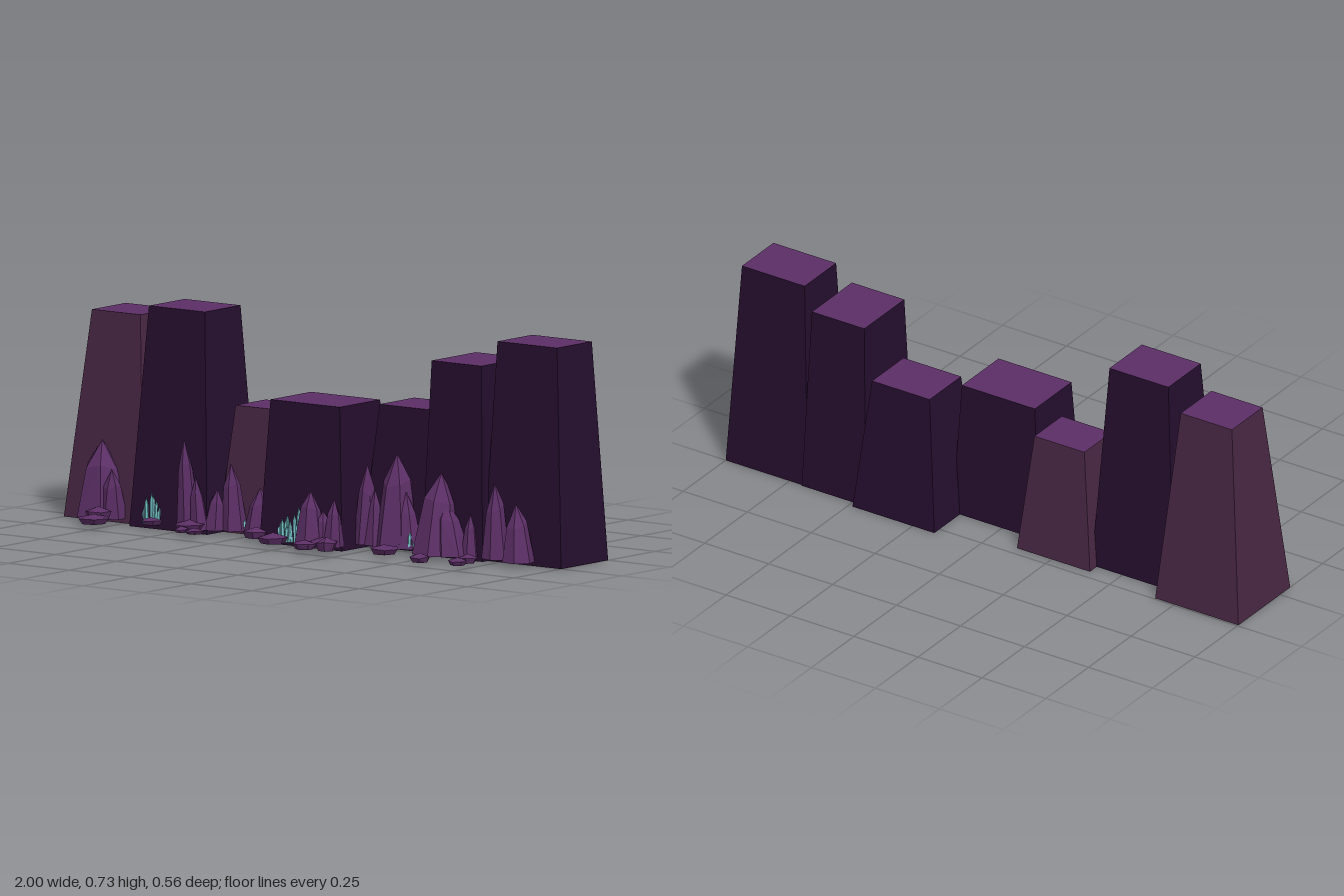
import * as THREE from 'three';
import { ConvexGeometry } from 'three/addons/geometries/ConvexGeometry.js';

const mat = (name, color) => {
  const m = new THREE.MeshStandardMaterial({ color, flatShading: true, side: THREE.DoubleSide });
  m.name = name;
  return m;
};

export function createModel() {
  const group = new THREE.Group();
  const darkRock = mat('dark rock', 0x250e2e);
  const maroonRock = mat('maroon rock', 0x482743);
  const purple = mat('purple crystal', 0x5c2f66);
  const cyan = mat('cyan crystal', 0x74c0c6);

  let seed = 7;
  const rand = () => (seed = (seed * 16807) % 2147483647) / 2147483647;
  const vary = (a) => 1 + (rand() - 0.5) * a;

  const add = (name, geometry, material) => {
    const mesh = new THREE.Mesh(geometry, material);
    mesh.name = name;
    group.add(mesh);
  };

  // Tapered pillar, open underneath; rectangles are [x0, x1, z0, z1]
  function pillar(base, top, height, wall) {
    const g = new THREE.BoxGeometry(1, 1, 1);
    const p = g.attributes.position;
    for (let i = 0; i < p.count; i++) {
      const r = p.getY(i) > 0 ? top : base;
      p.setXYZ(i, r[p.getX(i) > 0 ? 1 : 0], p.getY(i) > 0 ? height : 0, r[p.getZ(i) > 0 ? 3 : 2]);
    }
    const idx = Array.from(g.index.array);
    idx.splice(18, 6);
    g.setIndex(idx);
    g.clearGroups();
    g.addGroup(0, 12, 0);
    g.addGroup(12, 6, 1);
    g.addGroup(18, 12, 0);
    g.computeVertexNormals();
    add('rockPillar', g, [wall, purple]);
  }

  // Faceted crystal: base ring, narrower shoulder ring and a point
  function crystal(name, material, x, z, r, h, { rz = r, lx = 0, lz = 0, shoulder = 0.62, level = 0.68, sides = 6 } = {}) {
    const pts = [];
    const turn = rand() * 2;
    for (let i = 0; i < sides; i++) {
      const a = turn + (i / sides) * Math.PI * 2;
      const c = Math.cos(a), s = Math.sin(a), k = vary(0.15);
      const y = h * level * vary(0.18), t = y / h;
      pts.push(new THREE.Vector3(x + c * r * k, 0.015, z + s * rz * k));
      pts.push(new THREE.Vector3(x + lx * t + c * r * shoulder, y, z + lz * t + s * rz * shoulder));
    }
    pts.push(new THREE.Vector3(x + lx, h, z + lz));
    add(name, new ConvexGeometry(pts), material);
  }

  // Row of pillars
  pillar([-1, -0.675, -0.245, 0.06], [-0.935, -0.735, -0.185, -0.005], 0.68, maroonRock);
  pillar([-0.70, -0.38, -0.175, 0.10], [-0.65, -0.42, -0.13, 0.06], 0.725, darkRock);
  pillar([-0.40, -0.115, -0.215, 0.015], [-0.355, -0.16, -0.18, -0.02], 0.415, maroonRock);
  pillar([-0.145, 0.195, -0.13, 0.125], [-0.115, 0.17, -0.11, 0.105], 0.47, darkRock);
  pillar([0.165, 0.485, -0.28, -0.02], [0.21, 0.435, -0.24, -0.055], 0.465, darkRock);
  pillar([0.45, 0.70, -0.255, 0.03], [0.475, 0.68, -0.225, 0.01], 0.64, darkRock);
  pillar([0.68, 1.0, -0.25, 0], [0.715, 0.96, -0.215, -0.03], 0.72, darkRock);

  // Standing crystals: x, z, radius, height, lean x, lean z
  [
    [-0.85, 0.04, 0.095, 0.265, 0, 0.01],
    [-0.79, 0.07, 0.045, 0.18, 0.01, 0.02],
    [-0.455, 0.10, 0.038, 0.315, -0.005, 0.02],
    [-0.41, 0.10, 0.035, 0.19, -0.01, 0.01],
    [-0.315, 0.04, 0.045, 0.235, -0.005, 0.01],
    [-0.37, 0.07, 0.04, 0.15, 0.01, 0],
    [-0.20, 0.04, 0.06, 0.165, 0, 0.01],
    [0.09, 0.155, 0.052, 0.195, 0, 0],
    [0.17, 0.14, 0.035, 0.175, 0.005, 0],
    [0.13, 0.14, 0.04, 0.13, 0, 0],
    [0.21, 0.02, 0.04, 0.28, 0.015, 0.01],
    [0.25, 0.02, 0.035, 0.2, 0, 0],
    [0.325, 0.0, 0.075, 0.32, 0, 0],
    [0.385, 0.01, 0.045, 0.2, -0.015, 0],
    [0.535, 0.055, 0.085, 0.28, 0, -0.02],
    [0.59, 0.055, 0.06, 0.19, -0.02, 0],
    [0.50, 0.07, 0.045, 0.18, 0.01, 0],
    [0.65, 0.03, 0.03, 0.155, 0, 0],
    [0.75, 0.025, 0.046, 0.265, 0, 0.005],
    [0.855, 0.04, 0.055, 0.205, -0.01, 0],
  ].forEach(([x, z, r, h, lx, lz]) => crystal('standingCrystal', purple, x, z, r, h, { lx, lz }));

  // Low stones scattered in front: x, z, radius, height
  [
    [-0.77, 0.2, 0.055, 0.045], [-0.8, 0.135, 0.045, 0.06], [-0.6, 0.105, 0.035, 0.04],
    [-0.42, 0.185, 0.024, 0.035], [-0.365, 0.19, 0.03, 0.035], [-0.43, 0.12, 0.055, 0.05],
    [-0.155, 0.13, 0.045, 0.05], [-0.035, 0.195, 0.05, 0.05], [0.125, 0.235, 0.04, 0.045],
    [0.205, 0.22, 0.036, 0.06], [0.16, 0.175, 0.05, 0.05], [0.395, 0.16, 0.05, 0.045],
    [0.6, 0.235, 0.036, 0.045], [0.735, 0.155, 0.034, 0.045], [0.74, 0.215, 0.03, 0.04],
  ].forEach(([x, z, r, h]) => crystal('looseStone', purple, x, z, r * 0.75, h, { shoulder: 1.35, level: 0.72 }));

  // Clusters of thin cyan shards: x, z, half width, height, count
  [
    [-0.97, 0.03, 0.012, 0.09, 4],
    [-0.61, 0.10, 0.027, 0.125, 8],
    [-0.26, 0.03, 0.015, 0.08, 4],
    [-0.03, 0.14, 0.025, 0.1, 7],
    [0.02, 0.14, 0.018, 0.145, 5],
    [0.4, 0.03, 0.014, 0.08, 4],
    [0.81, 0.01, 0.012, 0.1, 4],
  ].forEach(([x, z, w, h, n]) => {
    for (let i = 0; i < n; i++) {
      const u = (i / (n - 1)) * 2 - 1;
      const tall = h * (1 - 0.45 * Math.abs(u)) * vary(0.25);
      crystal('cyanShard', cyan, x + u * w, z + (rand() - 0.5) * 0.03, 0.007, tall,
        { lx: u * 0.006, shoulder: 0.9, level: 0.8, sides: 5 });
    }
  });

  return group;
}
